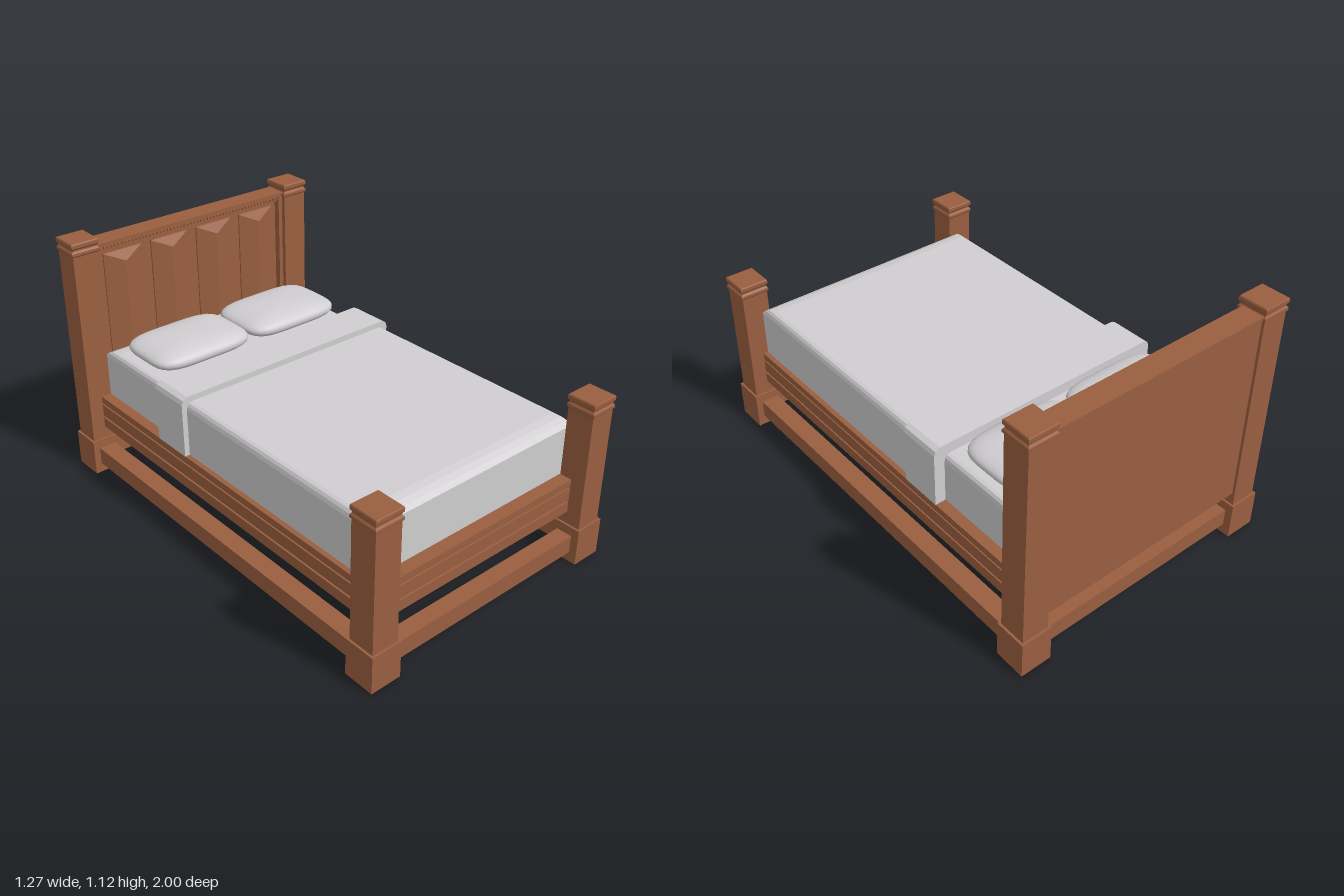
import * as THREE from 'three';

const wood = new THREE.MeshStandardMaterial({ color: 0x9a5f40 });
wood.name = 'warm wood';
const linen = new THREE.MeshStandardMaterial({ color: 0xd0ced0 });
linen.name = 'pale linen';

// Stacks rectangular rings [y, halfX, zBack, zFront] into a closed, faceted solid
function loft(rings) {
  const pos = [], idx = [], n = rings.length;
  for (const [y, hx, z0, z1] of rings) pos.push(-hx, y, z1, hx, y, z1, hx, y, z0, -hx, y, z0);
  for (let r = 0; r < n - 1; r++) {
    for (let i = 0; i < 4; i++) {
      const a = r * 4 + i, b = r * 4 + (i + 1) % 4;
      idx.push(a, b, b + 4, a, b + 4, a + 4);
    }
  }
  const t = (n - 1) * 4;
  idx.push(t, t + 1, t + 2, t, t + 2, t + 3, 0, 2, 1, 0, 3, 2);
  const g = new THREE.BufferGeometry();
  g.setAttribute('position', new THREE.Float32BufferAttribute(pos, 3));
  g.setIndex(idx);
  const flat = g.toNonIndexed();
  flat.computeVertexNormals();
  return flat;
}

function add(parent, name, geometry, material) {
  const mesh = new THREE.Mesh(geometry, material);
  mesh.name = name;
  parent.add(mesh);
  return mesh;
}

// Box given by its limits on each axis
function block(parent, name, x0, x1, y0, y1, z0, z1, material = wood) {
  const mesh = add(parent, name, new THREE.BoxGeometry(x1 - x0, y1 - y0, z1 - z0), material);
  mesh.position.set((x0 + x1) / 2, (y0 + y1) / 2, (z0 + z1) / 2);
  return mesh;
}

// Square post with a plinth and a grooved cap
function post(parent, name, x, z, h) {
  const profile = [
    [0, 0.07], [0.165, 0.07], [0.165, 0.06], [h - 0.06, 0.06], [h - 0.054, 0.065], [h - 0.042, 0.065],
    [h - 0.034, 0.059], [h - 0.028, 0.059], [h - 0.02, 0.065], [h - 0.005, 0.065], [h, 0.062],
  ];
  add(parent, name, loft(profile.map(([y, r]) => [y, r, -r, r])), wood).position.set(x, 0, z);
}

// Cushion shape: a sphere pushed towards a rounded rectangle
function pillowGeometry() {
  const g = new THREE.SphereGeometry(1, 48, 28);
  const p = g.attributes.position;
  for (let i = 0; i < p.count; i++) {
    const x = p.getX(i), y = p.getY(i), z = p.getZ(i);
    const r = Math.hypot(x, z);
    const c = r > 1e-6 ? x / r : 1, s = r > 1e-6 ? z / r : 0;
    const k = Math.pow(Math.abs(c) ** 4.5 + Math.abs(s) ** 4.5, -1 / 4.5);
    const spread = Math.pow(r, 0.8);
    p.setXYZ(i, c * k * spread * 0.243, Math.sign(y) * Math.abs(y) ** 0.9 * 0.051, s * k * spread * 0.17);
  }
  g.computeVertexNormals();
  return g;
}

export function createModel() {
  const bed = new THREE.Group();
  bed.name = 'bed';

  // Corner posts
  for (const s of [-1, 1]) {
    post(bed, 'frontPost', s * 0.565, 0.93, 0.745);
    post(bed, 'headPost', s * 0.565, -0.93, 1.12);
  }

  // Rails: three bands parted by shallow grooves, with a core behind
  const bands = [[0.22, 0.268], [0.278, 0.335], [0.343, 0.375]];
  for (const s of [-1, 1]) {
    const side = new THREE.Group();
    side.name = 'sideRail';
    bed.add(side);
    const rail = (name, inner, outer, y0, y1) =>
      block(side, name, Math.min(s * inner, s * outer), Math.max(s * inner, s * outer), y0, y1, -0.89, 0.89);
    rail('railCore', 0.51, 0.55, 0.225, 0.37);
    for (const [a, b] of bands) rail('railBand', 0.51, 0.562, a, b);
    rail('sideStretcher', 0.525, 0.605, 0.045, 0.125);
  }
  const front = new THREE.Group();
  front.name = 'frontRail';
  bed.add(front);
  block(front, 'railCore', -0.52, 0.52, 0.225, 0.37, 0.865, 0.913);
  for (const [a, b] of bands) block(front, 'railBand', -0.52, 0.52, a, b, 0.865, 0.925);
  for (const z of [-0.93, 0.93]) {
    block(bed, 'endStretcher', -0.52, 0.52, 0.045, 0.125, z - 0.036, z + 0.036);
  }
  block(bed, 'bedBase', -0.515, 0.515, 0.222, 0.25, -0.93, 0.87);

  // Headboard: back panel, cap, frame, dentils and raised panels
  const head = new THREE.Group();
  head.name = 'headboard';
  bed.add(head);
  block(head, 'backPanel', -0.51, 0.51, 0.22, 1.07, -0.978, -0.92);
  block(head, 'topCap', -0.51, 0.51, 1.068, 1.083, -0.985, -0.885);
  block(head, 'header', -0.51, 0.51, 1.042, 1.07, -0.925, -0.9);
  for (const s of [-1, 1]) {
    block(head, 'stile', s * 0.498 - 0.013, s * 0.498 + 0.013, 0.22, 1.068, -0.925, -0.89);
  }
  const dentil = new THREE.BoxGeometry(0.009, 0.009, 0.01);
  for (let i = 0; i < 54; i++) {
    add(head, 'dentil', dentil, wood).position.set(-0.477 + i * 0.018, 1.054, -0.896);
  }
  const raised = loft([[0, 0.096, -0.33, 0.33], [0.008, 0.096, -0.33, 0.33], [0.034, 0.003, -0.285, 0.285]]);
  raised.rotateX(Math.PI / 2);
  for (let i = 0; i < 4; i++) {
    add(head, 'raisedPanel', raised, wood).position.set((i - 1.5) * 0.242, 0.69, -0.921);
  }

  // Mattress with a softened head end
  add(bed, 'mattress', loft([
    [0.25, 0.515, -0.885, 0.86], [0.565, 0.515, -0.885, 0.86], [0.583, 0.511, -0.86, 0.85],
    [0.594, 0.503, -0.83, 0.83], [0.598, 0.49, -0.79, 0.8],
  ]), linen);

  // Blanket, bevelled at the sides and foot
  add(bed, 'blanket', loft([
    [0.372, 0.54, -0.25, 0.868], [0.588, 0.54, -0.25, 0.868], [0.604, 0.535, -0.25, 0.85],
    [0.615, 0.527, -0.25, 0.825], [0.62, 0.513, -0.25, 0.79],
  ]), linen);

  // Folded-back band over the blanket
  add(bed, 'blanketFold', loft([
    [0.375, 0.563, -0.405, -0.215], [0.615, 0.563, -0.405, -0.215], [0.634, 0.556, -0.405, -0.215],
    [0.646, 0.535, -0.405, -0.215],
  ]), linen);

  // Pillows
  const cushion = pillowGeometry();
  for (const s of [-1, 1]) add(bed, 'pillow', cushion, linen).position.set(s * 0.245, 0.648, -0.615);

  return bed;
}
